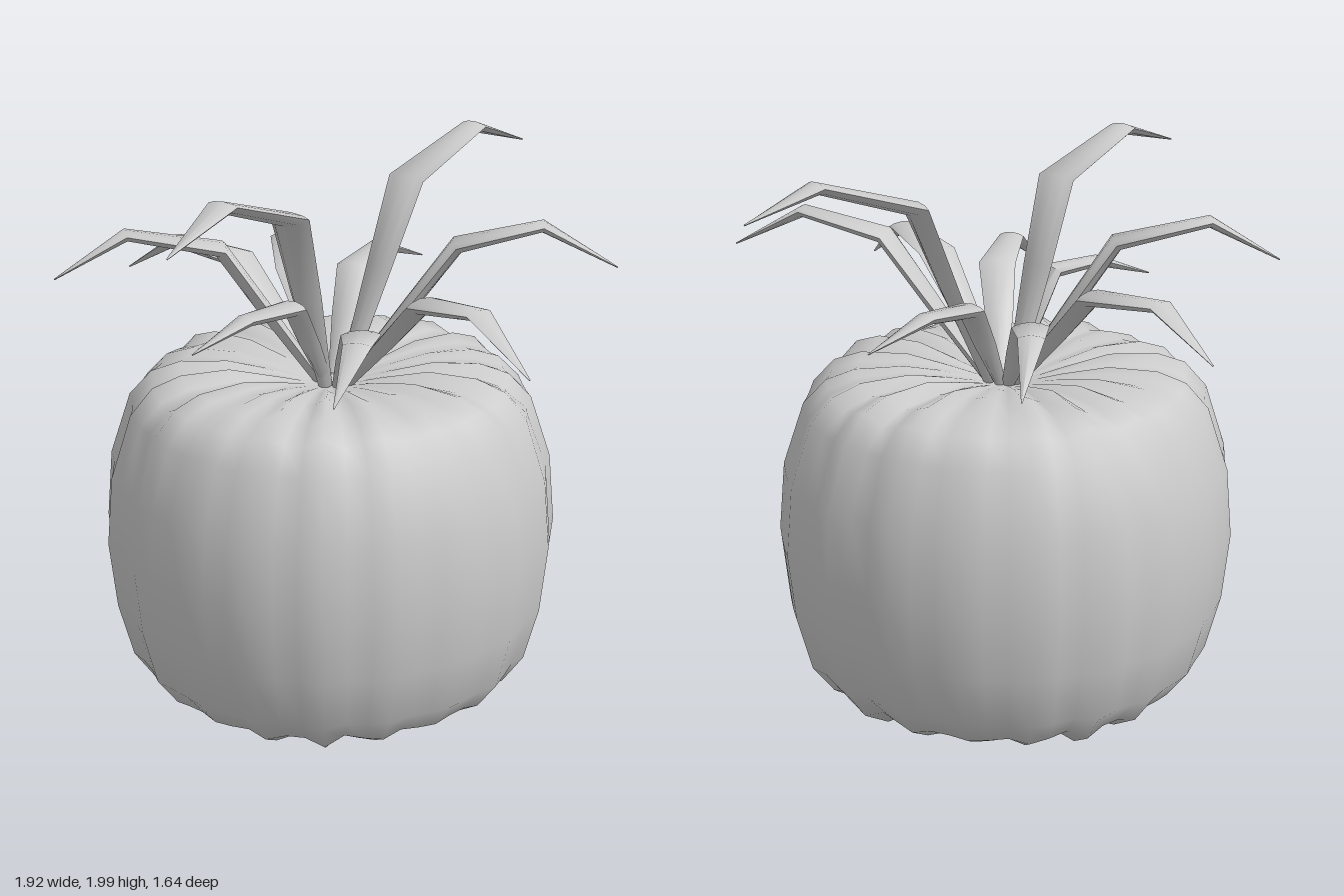
import * as THREE from 'three';
import { mergeVertices, toCreasedNormals } from 'three/addons/utils/BufferGeometryUtils.js';

const material = new THREE.MeshStandardMaterial({ color: 0xcccccc, side: THREE.DoubleSide });

// Squat, softly ribbed fruit: a lathe whose radius ripples around the axis
function createBody() {
  const profile = [
    [0, 0.1], [0.2, 0.075], [0.42, 0.035], [0.56, 0.04], [0.66, 0.1], [0.735, 0.2], [0.785, 0.4],
    [0.808, 0.65], [0.785, 0.9], [0.71, 1.12], [0.63, 1.2], [0.53, 1.235], [0.36, 1.24], [0.2, 1.215], [0.08, 1.185], [0, 1.17],
  ].map(([r, y]) => new THREE.Vector2(r, y));
  const ribs = 20;
  let geo = new THREE.LatheGeometry(profile, ribs * 3);
  const pos = geo.attributes.position;
  for (let i = 0; i < pos.count; i++) {
    const x = pos.getX(i), y = pos.getY(i), z = pos.getZ(i);
    const r = Math.hypot(x, z), a = Math.atan2(z, x);
    // uneven ribs, strongest on the shoulders and around the foot
    const wave = Math.cos(ribs * a + 0.5 * Math.sin(3 * a + 1)) * (0.9 + 0.5 * Math.sin(5 * a));
    const shoulder = THREE.MathUtils.smoothstep(r, 0.1, 0.4) * (1 - THREE.MathUtils.smoothstep(r, 0.6, 0.8));
    // one side bulges a little, another is slightly flattened
    const bulge = 0.03 * Math.exp(-(((a + 0.62) / 0.35) ** 2)) - 0.015 * Math.exp(-(((a - 1.15) / 0.35) ** 2));
    const swell = 1 + 0.012 * wave + bulge;
    const lift = 0.018 * wave * shoulder * Math.sign(y - 0.6);
    pos.setXYZ(i, x * swell - 0.035, y + lift, z * swell - 0.015);
  }
  geo.deleteAttribute('uv');
  geo.deleteAttribute('normal');
  geo = mergeVertices(geo, 1e-4);
  geo.computeVertexNormals();
  const body = new THREE.Mesh(geo, material);
  body.name = 'fruitBody';
  return body;
}

// Cross-section of a leaf (across, up): gently domed above, rounded keel below
const section = [[1, 0], [0.6, 0.01], [0, 0.015], [-0.6, 0.01], [-1, 0], [-0.6, -0.024], [0, -0.036], [0.6, -0.024]];
const halfWidths = [0.03, 0.062, 0.08, 0.056, 0.003];
const depths = [0.7, 1, 1.1, 0.8, 0.1];

// Bent leaf swept through base, bend, peak and tip
function createLeaf(corners, scale) {
  const p = corners.map((c) => new THREE.Vector3(...c));
  p.splice(1, 0, p[0].clone().lerp(p[1], 0.55));
  const up = new THREE.Vector3(0, 1, 0);
  const vertices = [], index = [], n = section.length;
  p.forEach((point, i) => {
    const ahead = p[Math.min(i + 1, p.length - 1)], behind = p[Math.max(i - 1, 0)];
    const along = ahead.clone().sub(point).normalize().add(point.clone().sub(behind).normalize()).normalize();
    const across = up.clone().cross(along).normalize();
    const normal = along.clone().cross(across);
    for (const [u, v] of section) {
      const q = point.clone()
        .addScaledVector(across, u * halfWidths[i] * scale)
        .addScaledVector(normal, v * depths[i]);
      vertices.push(q.x, q.y, q.z);
    }
    if (i === 0) return;
    for (let j = 0; j < n; j++) {
      const a = (i - 1) * n + j, b = (i - 1) * n + (j + 1) % n;
      index.push(a, b, b + n, a, b + n, a + n);
    }
  });
  const geo = new THREE.BufferGeometry();
  geo.setAttribute('position', new THREE.Float32BufferAttribute(vertices, 3));
  geo.setIndex(index);
  const leaf = new THREE.Mesh(toCreasedNormals(geo, 1), material);
  leaf.name = 'leaf';
  return leaf;
}

export function createModel() {
  const model = new THREE.Group();
  model.name = 'leafyFruit';
  model.add(createBody());

  // Crown: each leaf as base, bend, peak, tip and a width scale
  const crown = new THREE.Group();
  crown.name = 'leafCrown';
  const leaves = [
    // tall pair
    [[-0.05, 1.19, 0.04], [-0.16, 1.86, 0.24], [-0.35, 1.985, 0.55], [-0.5, 1.89, 0.81], 1],
    [[0.02, 1.19, -0.05], [0.23, 1.86, -0.25], [0.48, 1.985, -0.54], [0.67, 1.89, -0.71], 1],
    // wide pair
    [[0.03, 1.19, -0.02], [0.4, 1.695, -0.015], [0.7, 1.765, -0.01], [0.96, 1.62, 0.01], 0.95],
    [[-0.07, 1.19, -0.02], [-0.4, 1.695, 0.05], [-0.72, 1.765, 0.13], [-0.96, 1.62, 0.19], 0.95],
    // low ring
    [[0.02, 1.19, 0.03], [0.28, 1.565, 0.25], [0.46, 1.6, 0.45], [0.62, 1.44, 0.63], 0.95],
    [[-0.07, 1.19, -0.04], [-0.36, 1.575, -0.22], [-0.61, 1.6, -0.36], [-0.8, 1.45, -0.49], 0.95],
    [[0, 1.19, 0.05], [0.08, 1.495, 0.37], [0.07, 1.54, 0.6], [0, 1.4, 0.79], 0.85],
    [[-0.05, 1.19, -0.06], [-0.18, 1.495, -0.35], [-0.23, 1.54, -0.6], [-0.24, 1.4, -0.81], 0.8],
    // short inner pair
    [[-0.02, 1.19, -0.06], [0.04, 1.525, -0.28], [0.14, 1.55, -0.48], [0.3, 1.46, -0.63], 0.75],
    [[-0.04, 1.19, 0.03], [-0.15, 1.535, 0.2], [-0.3, 1.54, 0.35], [-0.47, 1.46, 0.48], 0.75],
  ];
  for (const [base, bend, peak, tip, scale] of leaves) crown.add(createLeaf([base, bend, peak, tip], scale));
  model.add(crown);
  return model;
}
